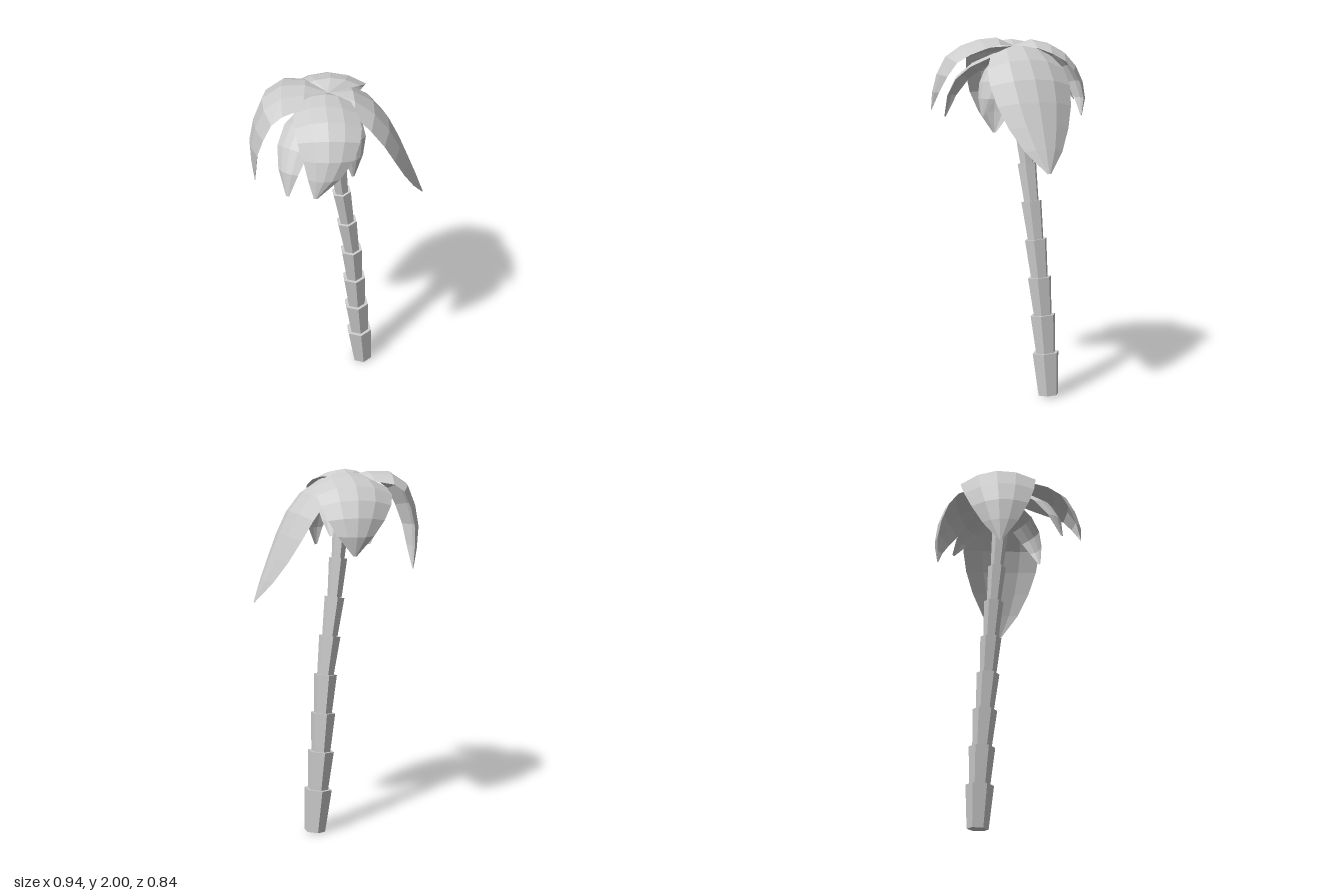
import * as THREE from 'three';

const bark = new THREE.MeshStandardMaterial({ color: 0xcccccc, flatShading: true });
const foliage = new THREE.MeshStandardMaterial({ color: 0xcccccc, flatShading: true, side: THREE.DoubleSide });

const curveThrough = points => new THREE.CatmullRomCurve3(points.map(p => new THREE.Vector3(...p)));

// Leaning trunk: stacked six-sided rings, each narrow at its foot and flared at its rim
function createTrunk() {
  const trunk = new THREE.Group();
  trunk.name = 'trunk';
  const lean = curveThrough([
    [0.17, 0.03, -0.145], [0.13, 0.45, -0.128], [0.09, 0.9, -0.097], [0.03, 1.3, -0.07], [-0.045, 1.94, -0.02],
  ]);
  const joints = lean.getSpacedPoints(9);
  for (let i = 0; i < 9; i++) {
    const axis = joints[i + 1].clone().sub(joints[i]);
    const overlap = i === 0 ? 0.026 : 0.015;
    const length = axis.length() + overlap;
    const rim = 0.078 - 0.0045 * i;
    const ring = new THREE.CylinderGeometry(rim, rim * 0.76, length, 6).translate(0, length / 2 - overlap, 0);
    const mesh = new THREE.Mesh(ring, bark);
    mesh.position.copy(joints[i]);
    mesh.quaternion.setFromUnitVectors(new THREE.Vector3(0, 1, 0), axis.normalize());
    mesh.name = 'trunkRing';
    trunk.add(mesh);
  }
  return trunk;
}

// Frond blade swept along its midrib: widest a third of the way out, edges folded under
function createFrond(name, halfWidth, midrib, rows = 7) {
  const spine = curveThrough(midrib);
  const heading = spine.points[2].clone().sub(spine.points[0]);
  const side = new THREE.Vector3(-heading.z, 0, heading.x).normalize();
  const across = 4;
  const positions = [], index = [];
  for (let i = 0; i <= rows; i++) {
    const t = i / rows;
    const centre = spine.getPointAt(t);
    const outward = side.clone().cross(spine.getTangentAt(t)).normalize();
    const half = Math.max(0.01, halfWidth * Math.max(0, Math.sin(Math.PI * t ** 0.75)) ** 0.7);
    for (let j = 0; j <= across; j++) {
      const s = (j / across) * 2 - 1;
      const p = centre.clone().addScaledVector(side, s * half).addScaledVector(outward, -0.32 * s * s * half);
      positions.push(p.x, p.y, p.z);
      if (i && j) {
        const d = i * (across + 1) + j, b = d - across - 1;
        index.push(b - 1, b, d - 1, b, d, d - 1);
      }
    }
  }
  const geometry = new THREE.BufferGeometry();
  geometry.setAttribute('position', new THREE.Float32BufferAttribute(positions, 3));
  geometry.setIndex(index);
  geometry.computeVertexNormals();
  const mesh = new THREE.Mesh(geometry, foliage);
  mesh.name = name;
  return mesh;
}

export function createModel() {
  const palm = new THREE.Group();
  palm.name = 'palmTree';

  const crown = new THREE.Group();
  crown.name = 'crown';
  const heart = [-0.05, 1.95, -0.02];
  const lowHeart = [-0.05, 1.93, -0.02];

  // Four large fronds
  crown.add(
    createFrond('leftFrond', 0.23, [heart, [0.08, 1.95, -0.02], [0.24, 1.82, -0.02], [0.41, 1.46, -0.02], [0.475, 1.29, -0.02]]),
    createFrond('rightFrond', 0.215, [heart, [-0.2, 1.99, -0.06], [-0.36, 1.95, -0.07], [-0.46, 1.7, -0.06], [-0.445, 1.44, -0.05]]),
    createFrond('frontFrond', 0.17, [heart, [-0.08, 1.995, 0.08], [-0.1, 1.91, 0.34], [-0.12, 1.75, 0.42], [-0.18, 1.6, 0.42]]),
    createFrond('backFrond', 0.205, [heart, [-0.02, 1.985, -0.12], [-0.01, 1.9, -0.32], [0.02, 1.7, -0.415], [0.03, 1.56, -0.4]]),
  );

  // Three small fronds hanging beneath
  crown.add(
    createFrond('lowerFrontRightFrond', 0.105, [lowHeart, [-0.2, 1.88, 0.12], [-0.3, 1.74, 0.25], [-0.31, 1.55, 0.3]], 5),
    createFrond('lowerFrontLeftFrond', 0.1, [lowHeart, [0.02, 1.88, 0.08], [0.07, 1.73, 0.18], [0.05, 1.57, 0.2]], 5),
    createFrond('lowerBackLeftFrond', 0.09, [lowHeart, [0.05, 1.88, -0.13], [0.11, 1.78, -0.25], [0.13, 1.66, -0.31]], 5),
  );

  palm.add(createTrunk(), crown);
  return palm;
}
